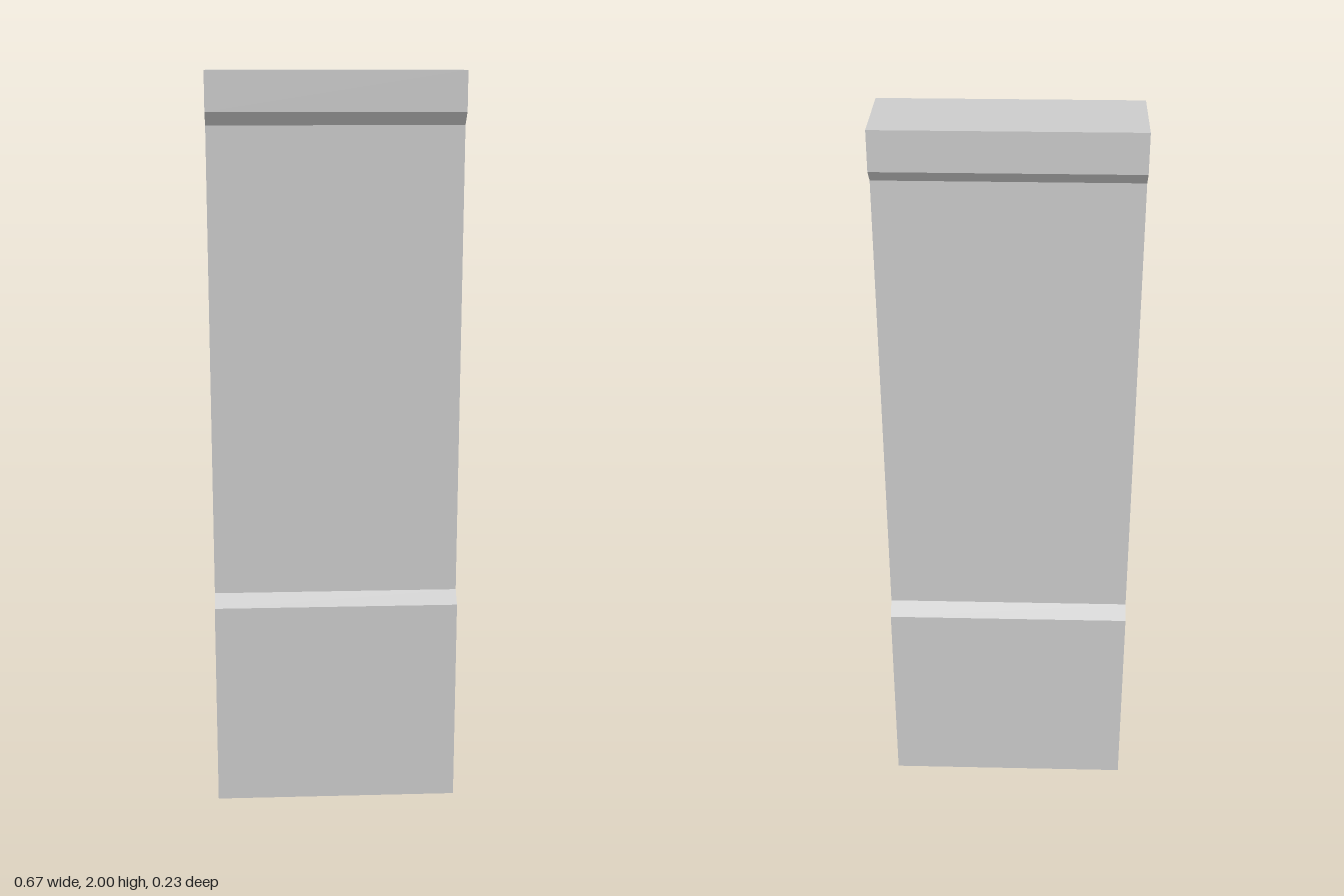
import * as THREE from 'three';

const WIDTH = 0.666;

// Half of the side outline, from the bottom up: [half depth, height]
const HALF_PROFILE = [
  [0.117, 0], [0.117, 0.57],      // plinth
  [0.083, 0.603], [0.083, 1.863], // recessed panel between two chamfers
  [0.117, 1.897], [0.117, 2],     // cap
];

export function createModel() {
  const group = new THREE.Group();
  group.name = 'wallPanel';

  // Mirror the half outline to close the side profile
  const front = HALF_PROFILE.map(([d, y]) => new THREE.Vector2(d, y));
  const back = HALF_PROFILE.map(([d, y]) => new THREE.Vector2(-d, y)).reverse();
  const profile = new THREE.Shape([...front, ...back]);

  // Run the profile across the width, centred on x
  const geometry = new THREE.ExtrudeGeometry(profile, { depth: WIDTH, bevelEnabled: false });
  geometry.translate(0, 0, -WIDTH / 2);
  geometry.rotateY(-Math.PI / 2);

  const material = new THREE.MeshStandardMaterial({ color: 0xcccccc, flatShading: true });
  const wall = new THREE.Mesh(geometry, material);
  wall.name = 'wallWithPlinthAndCap';
  group.add(wall);
  return group;
}
